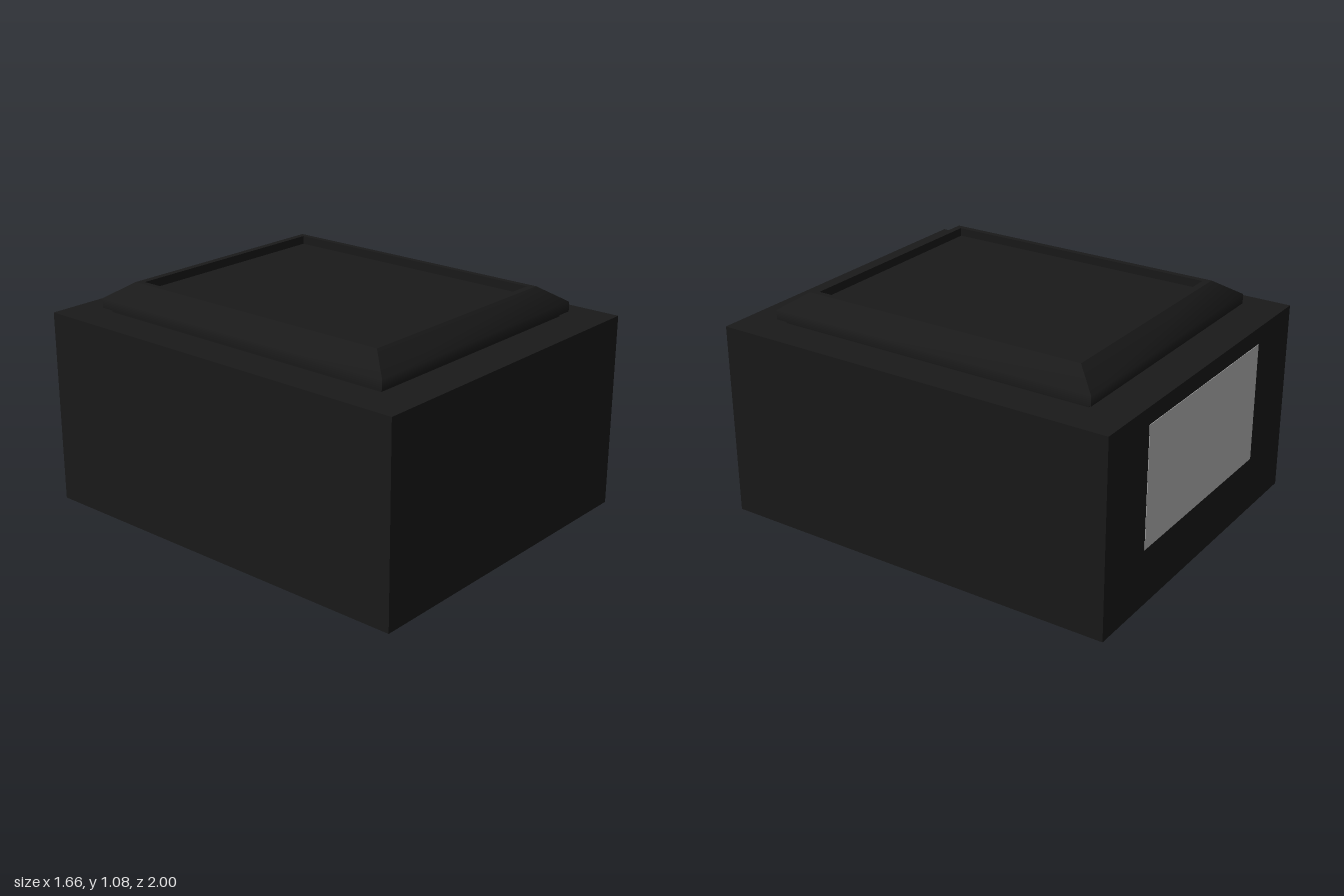
import * as THREE from 'three';

const black = new THREE.MeshStandardMaterial({ color: 0x1a1a1a });
black.name = 'black';
const grey = new THREE.MeshStandardMaterial({ color: 0xc0c0c0 });
grey.name = 'grey';
const darkRed = new THREE.MeshStandardMaterial({ color: 0x500000 });
darkRed.name = 'darkRed';

// Four mitred strips through rectangular rings [halfX, y, halfZ];
// normals are smooth along the profile and sharp at the mitres.
function mitredFrame(name, rings) {
  const group = new THREE.Group();
  group.name = name;
  const corners = [[-1, 1], [1, 1], [1, -1], [-1, -1]];
  corners.forEach((from, i) => {
    const to = corners[(i + 1) % 4];
    const positions = [], index = [];
    rings.forEach(([hx, y, hz], r) => {
      for (const [sx, sz] of [from, to]) positions.push(sx * hx, y, sz * hz);
      if (r > 0) {
        const a = 2 * r - 2;
        index.push(a, a + 1, a + 3, a, a + 3, a + 2);
      }
    });
    const geometry = new THREE.BufferGeometry();
    geometry.setAttribute('position', new THREE.Float32BufferAttribute(positions, 3));
    geometry.setIndex(index);
    geometry.computeVertexNormals();
    const mesh = new THREE.Mesh(geometry, black);
    mesh.name = name + 'Side';
    group.add(mesh);
  });
  return group;
}

function box(name, size, position, material) {
  const mesh = new THREE.Mesh(new THREE.BoxGeometry(...size), material);
  mesh.name = name;
  mesh.position.set(...position);
  return mesh;
}

export function createModel() {
  const model = new THREE.Group();
  model.name = 'lidBox';

  // Body with a dark red underside
  model.add(box('body', [1.652, 0.935, 1.992], [0, 0.4675, 0],
    [black, black, black, darkRed, black, black]));

  // Pale plate on the back
  model.add(box('backPlate', [1.0, 0.58, 0.006], [0, 0.564, -0.995], grey));

  // Recessed neck below the lid
  model.add(box('neck', [1.29, 0.03, 1.595], [0, 0.947, 0], black));

  // Lid: underside, bevelled edge, flat lip, inner wall and sunken panel
  const lid = new THREE.Group();
  lid.name = 'lid';
  lid.add(
    mitredFrame('lidUnderside', [[0.62, 0.957, 0.77], [0.675, 0.957, 0.825]]),
    mitredFrame('lidBevel', [[0.675, 0.957, 0.825], [0.675, 1.003, 0.825], [0.57, 1.078, 0.712]]),
    mitredFrame('lidLip', [[0.57, 1.078, 0.712], [0.542, 1.078, 0.68]]),
    mitredFrame('lidInnerWall', [[0.542, 1.078, 0.68], [0.542, 1.038, 0.68]])
  );
  const panel = new THREE.Mesh(new THREE.PlaneGeometry(1.084, 1.36), black);
  panel.name = 'lidPanel';
  panel.rotation.x = -Math.PI / 2;
  panel.position.y = 1.038;
  lid.add(panel);
  model.add(lid);

  // The whole box sits very slightly turned
  model.rotation.y = 0.005;
  return model;
}
